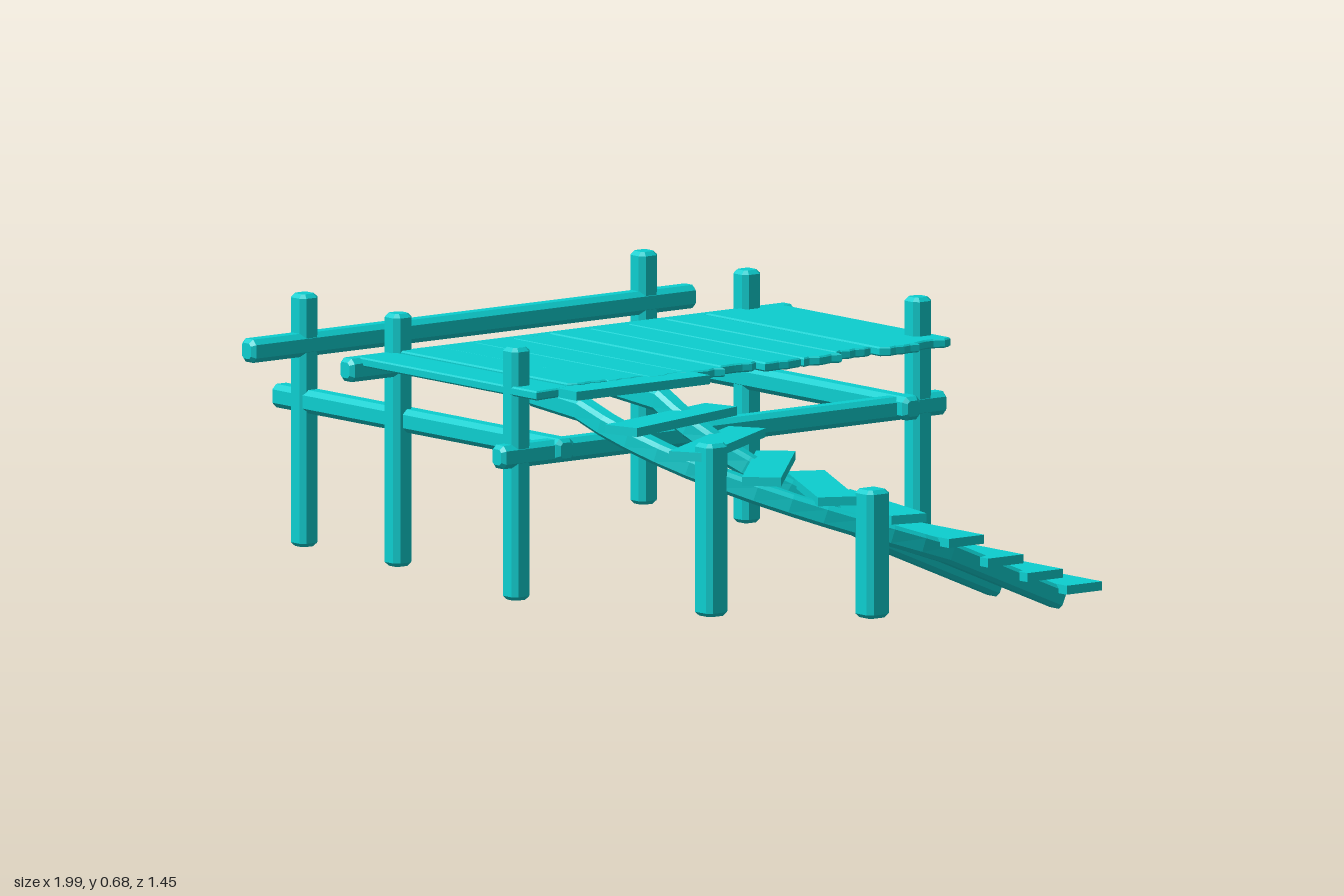
import * as THREE from 'three';

const material = new THREE.MeshStandardMaterial({ color: 0x0ccfd0, flatShading: true });

// Chamfered cross-section shared by posts, beams and stringers
function section(w, h, c) {
  const a = w / 2, b = h / 2;
  return [[a, -b + c], [a, b - c], [a - c, b], [-a + c, b],
    [-a, b - c], [-a, -b + c], [-a + c, -b], [a - c, -b]].map(p => new THREE.Vector2(...p));
}

// Timber with chamfered edges and ends, running along z and centred
function timberGeometry(w, h, length) {
  const bevel = 0.01;
  const geo = new THREE.ExtrudeGeometry(new THREE.Shape(section(w - 2 * bevel, h - 2 * bevel, 0.007)), {
    depth: length - 2 * bevel, bevelEnabled: true, bevelSize: bevel, bevelThickness: bevel, bevelSegments: 1,
  });
  return geo.translate(0, 0, -length / 2 + bevel);
}

function add(group, name, geo, x, y, z) {
  const mesh = new THREE.Mesh(geo, material);
  mesh.name = name;
  mesh.position.set(x, y, z);
  group.add(mesh);
  return mesh;
}

function seeded(seed) {
  return () => (seed = (seed * 16807) % 2147483647) / 2147483647;
}

// Deck board along x with worn, slightly ragged ends
function boardGeometry(x0, x1, depth, thick, rand) {
  const shape = new THREE.Shape(), d = depth / 2, n = 5;
  for (let i = 0; i <= n; i++) {
    const z = -d + depth * i / n, x = x1 - rand() * 0.016;
    i ? shape.lineTo(x, z) : shape.moveTo(x, z);
  }
  for (let i = n; i >= 0; i--) shape.lineTo(x0 + rand() * 0.016, -d + depth * i / n);
  const bevel = 0.004;
  return new THREE.ExtrudeGeometry(shape, {
    depth: thick - 2 * bevel, bevelEnabled: true, bevelSize: bevel, bevelOffset: -bevel,
    bevelThickness: bevel, bevelSegments: 1,
  }).translate(0, 0, bevel - thick / 2).rotateX(-Math.PI / 2);
}

// Sweep a chamfered section along a path, keeping its sides upright
function sweepGeometry(path, w, h) {
  const ring = section(w, h, 0.01), n = ring.length, pos = [], idx = [];
  path.forEach((p, i) => {
    const t = path[Math.min(i + 1, path.length - 1)].clone().sub(path[Math.max(i - 1, 0)]).normalize();
    const side = new THREE.Vector3(0, 1, 0).cross(t).normalize();
    const up = t.clone().cross(side);
    for (const q of ring) {
      const v = p.clone().addScaledVector(side, q.x).addScaledVector(up, q.y);
      pos.push(v.x, v.y, v.z);
    }
  });
  const last = (path.length - 1) * n;
  for (let i = 0; i < path.length - 1; i++) {
    for (let j = 0; j < n; j++) {
      const a = i * n + j, b = i * n + (j + 1) % n;
      idx.push(a, b, a + n, b, b + n, a + n);
    }
  }
  for (let j = 1; j < n - 1; j++) {
    idx.push(0, j + 1, j);
    idx.push(last, last + j, last + j + 1);
  }
  let geo = new THREE.BufferGeometry();
  geo.setAttribute('position', new THREE.Float32BufferAttribute(pos, 3));
  geo.setIndex(idx);
  geo = geo.toNonIndexed();
  geo.computeVertexNormals();
  return geo;
}

export function createModel() {
  const model = new THREE.Group();
  model.name = 'dock';
  const rand = seeded(17);

  // Posts: x, z, bottom, top, width
  const posts = new THREE.Group();
  posts.name = 'posts';
  model.add(posts);
  [
    [-0.89, 0.53, 0.035, 0.685, 0.06], [-0.89, -0.575, 0.035, 0.685, 0.06],
    [-0.49, 0.545, 0.035, 0.685, 0.06], [-0.49, -0.59, 0.035, 0.685, 0.06],
    [0.127, 0.655, 0.035, 0.685, 0.06], [0.127, -0.652, 0.035, 0.685, 0.06],
    [0.665, 0.452, 0.04, 0.485, 0.07], [0.917, 0.13, 0.035, 0.365, 0.072],
  ].forEach(([x, z, y0, y1, w]) => {
    const geo = timberGeometry(w, w, y1 - y0).rotateX(-Math.PI / 2);
    add(posts, 'post', geo, x, (y0 + y1) / 2, z);
  });

  // Horizontal beams: three across the depth, two along the width
  const beams = new THREE.Group();
  beams.name = 'beams';
  model.add(beams);
  for (const [x, y] of [[-0.887, 0.555], [-0.487, 0.555], [0.13, 0.407]]) {
    add(beams, 'crossBeam', timberGeometry(0.056, 0.06, 1.45), x, y, -0.004);
  }
  for (const [z, x0, x1] of [[0.525, -1, 0.17], [-0.588, -0.955, 0.19]]) {
    const geo = timberGeometry(0.058, 0.06, x1 - x0).rotateY(Math.PI / 2);
    add(beams, 'sideBeam', geo, (x0 + x1) / 2, 0.41, z);
  }

  // Deck boards
  const deck = new THREE.Group();
  deck.name = 'deck';
  model.add(deck);
  const rightEnds = [0.225, 0.255, 0.222, 0.248, 0.247, 0.224, 0.243, 0.246, 0.235, 0.23, 0.248];
  rightEnds.forEach((end, i) => {
    const geo = boardGeometry(-0.482, end, i ? 0.12 : 0.135, 0.024, rand);
    const board = add(deck, 'deckBoard', geo, 0, 0.577 + (rand() - 0.5) * 0.006, -0.622 + i * 0.1247);
    board.rotation.y = (rand() - 0.5) * 0.008;
  });

  // Stair treads: six fanned round the bend, then four straight
  const stairs = new THREE.Group();
  stairs.name = 'stairs';
  model.add(stairs);
  const cx = 0.27, cz = -0.105, radius = 0.495;
  const tread = (x, y, z, yaw, w) => {
    add(stairs, 'tread', timberTread(w), x, y, z).rotation.y = yaw;
  };
  const timberTread = w => new THREE.BoxGeometry(w, 0.023, 0.436);
  [0.575, 0.502, 0.45, 0.392, 0.34, 0.285].forEach((y, i) => {
    const a = THREE.MathUtils.degToRad(15.5 * i);
    tread(cx + radius * Math.sin(a) - (i ? 0 : 0.008), y, cz + radius * Math.cos(a), a, 0.1);
  });
  [0.213, 0.15, 0.1, 0.055].forEach((y, i) => {
    tread(0.768, y, -0.122 - 0.128 * i, Math.PI / 2, 0.115);
  });

  // Curved stringers beneath the treads
  for (const [name, r] of [['innerStringer', 0.4], ['outerStringer', 0.655]]) {
    const path = [new THREE.Vector3(0.08, 0.545, cz + r)];
    for (let i = 0; i <= 12; i++) {
      const t = i / 12, a = t * Math.PI / 2;
      path.push(new THREE.Vector3(cx + r * Math.sin(a), 0.53 - 0.35 * t, cz + r * Math.cos(a)));
    }
    path.push(new THREE.Vector3(cx + r, 0.027, -0.468));
    add(stairs, name, sweepGeometry(path, 0.056, 0.056), 0, 0, 0);
  }

  return model;
}
